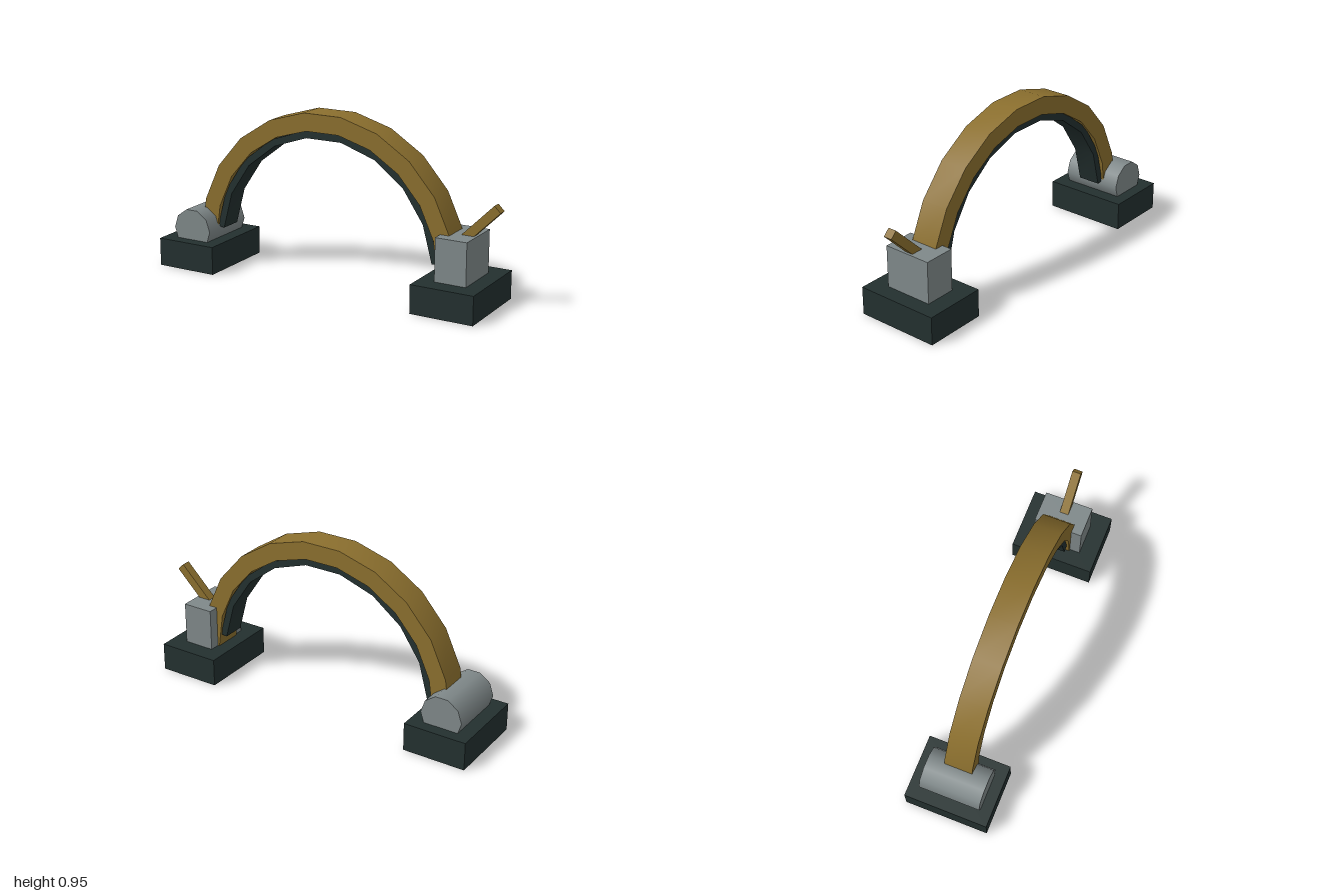
import * as THREE from 'three';
import { toCreasedNormals } from 'three/addons/utils/BufferGeometryUtils.js';

const brass = new THREE.MeshStandardMaterial({ color: 0x8b6f2e });
brass.name = 'brass';
const steel = new THREE.MeshStandardMaterial({ color: 0x7f8889 });
steel.name = 'steel';
const darkRubber = new THREE.MeshStandardMaterial({ color: 0x23302f });
darkRubber.name = 'dark rubber';

// Faceted half ring with a rectangular section, smooth along its length
function halfRing(inner, outer, depth, margin, segments) {
  const points = [];
  const addArc = (radius, from, to) => {
    for (let i = 0; i <= segments; i++) {
      const a = from + ((to - from) * i) / segments;
      points.push(new THREE.Vector2(Math.cos(a) * radius, Math.sin(a) * radius));
    }
  };
  addArc(outer, margin, Math.PI - margin);
  addArc(inner, Math.PI - margin, margin);
  const geometry = new THREE.ExtrudeGeometry(new THREE.Shape(points), { depth, bevelEnabled: false });
  geometry.translate(0, 0, -depth / 2);
  return toCreasedNormals(geometry, 0.6);
}

export function createModel() {
  const model = new THREE.Group();
  model.name = 'hingedArch';

  const add = (name, geometry, material, x, y, z = 0) => {
    const mesh = new THREE.Mesh(geometry, material);
    mesh.name = name;
    mesh.position.set(x, y, z);
    model.add(mesh);
    return mesh;
  };

  // Feet
  const footGeometry = new THREE.BoxGeometry(0.36, 0.16, 0.48);
  add('hingeFoot', footGeometry, darkRubber, -0.82, 0.08);
  add('latchFoot', footGeometry, darkRubber, 0.78, 0.08);

  // Ten-sided hinge barrel lying along z, flat side up
  const barrel = new THREE.CylinderGeometry(0.12, 0.12, 0.35, 10, 1, false, Math.PI / 10);
  barrel.rotateX(Math.PI / 2);
  add('hingeBarrel', barrel, steel, -0.82, 0.22);

  // Latch block and its slanted lever
  add('latchBlock', new THREE.BoxGeometry(0.18, 0.24, 0.28), steel, 0.78, 0.28);
  const lever = add('latchLever', new THREE.BoxGeometry(0.05, 0.28, 0.05), brass, 0.883, 0.463);
  lever.rotation.z = -Math.PI / 4;

  // Arch with a padded lining inside it
  add('arch', halfRing(0.7, 0.8, 0.16, 0, 11), brass, -0.02, 0.16);
  add('archLining', halfRing(0.66, 0.7, 0.13, 0.1, 9), darkRubber, -0.02, 0.16);

  return model;
}
